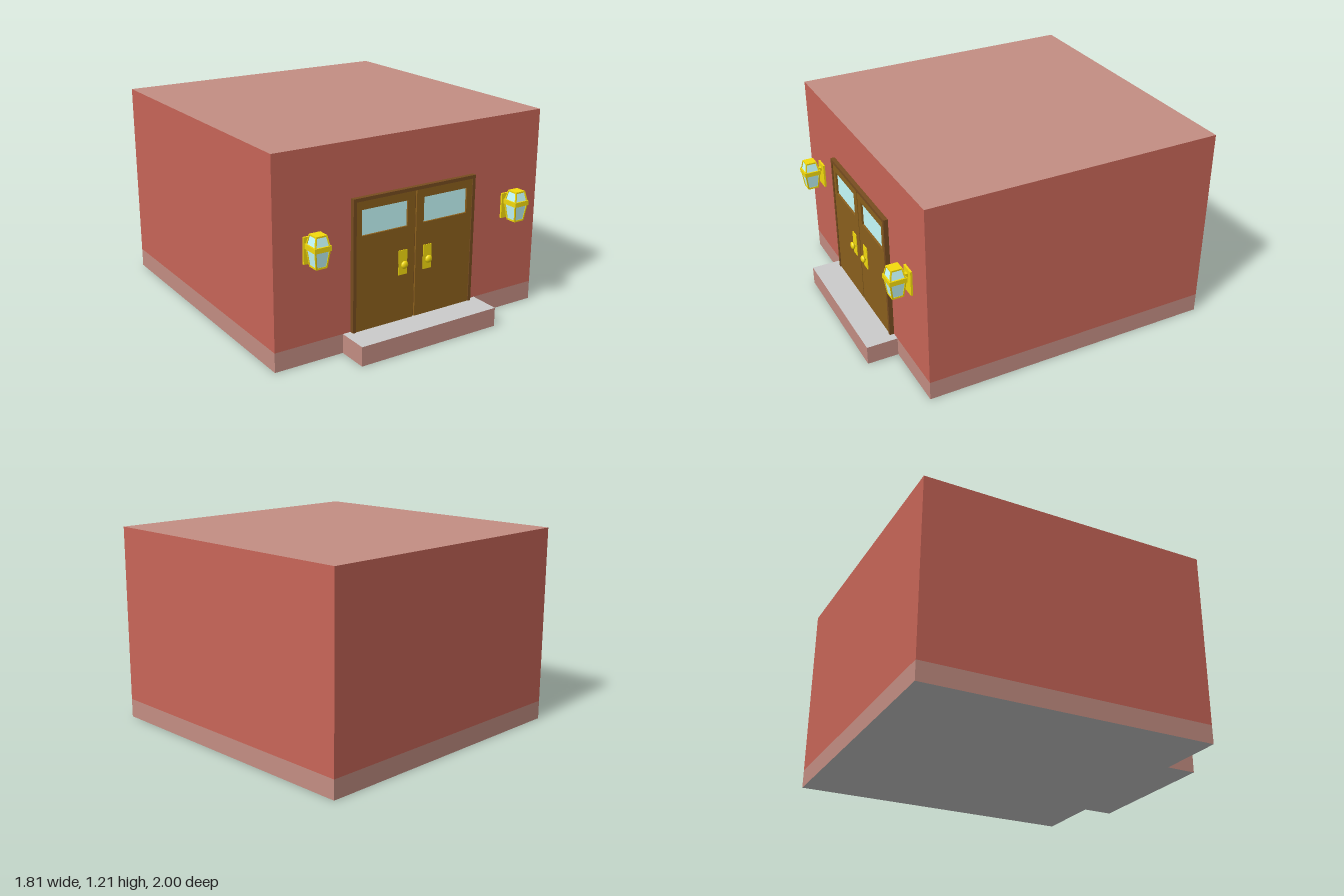
import * as THREE from 'three';

const mat = (color) => new THREE.MeshStandardMaterial({ color, flatShading: true });
const brick = mat(0xc96658), trim = mat(0xc48e83), stone = mat(0xcccccc);
const wood = mat(0x8c601d), darkWood = mat(0x784d20), glass = mat(0xc8ffff), brass = mat(0xf5dc0d);
const roundBrass = new THREE.MeshStandardMaterial({ color: 0xf5dc0d });

function add(parent, name, geometry, material, x = 0, y = 0, z = 0) {
  const mesh = new THREE.Mesh(geometry, material);
  mesh.name = name;
  mesh.position.set(x, y, z);
  parent.add(mesh);
  return mesh;
}

// Box given by its minimum and maximum corners
function block(parent, name, [x0, y0, z0], [x1, y1, z1], material) {
  return add(parent, name, new THREE.BoxGeometry(x1 - x0, y1 - y0, z1 - z0), material,
    (x0 + x1) / 2, (y0 + y1) / 2, (z0 + z1) / 2);
}

const rect = (C, x0, y0, x1, y1) => new C([[x0, y0], [x1, y0], [x1, y1], [x0, y1]]
  .map(([x, y]) => new THREE.Vector2(x, y)));

// Square frustum with half-widths at the bottom and top
function frustum(low, high, height) {
  return new THREE.CylinderGeometry(high * Math.SQRT2, low * Math.SQRT2, height, 4).rotateY(Math.PI / 4);
}

// Square bar between two points
function bar(parent, name, a, b, width, material) {
  const from = new THREE.Vector3(...a), to = new THREE.Vector3(...b);
  const dir = to.clone().sub(from);
  const mesh = add(parent, name, new THREE.BoxGeometry(width, dir.length(), width), material);
  mesh.position.copy(from).add(to).multiplyScalar(0.5);
  mesh.quaternion.setFromUnitVectors(new THREE.Vector3(0, 1, 0), dir.normalize());
}

function makeDoors() {
  const doors = new THREE.Group();
  doors.name = 'doubleDoor';
  doors.position.x = -0.0075;

  // Surround
  block(doors, 'frameTop', [-0.417, 0.872, 0.81], [0.417, 0.892, 0.837], darkWood);
  block(doors, 'doorGap', [-0.006, 0.115, 0.81], [0.006, 0.872, 0.822], darkWood);
  for (const s of [-1, 1]) {
    const side = s < 0 ? 'right' : 'left';
    const span = (a, b) => [Math.min(s * a, s * b), Math.max(s * a, s * b)];
    const [f0, f1] = span(0.397, 0.417);
    block(doors, side + 'FramePost', [f0, 0.115, 0.81], [f1, 0.872, 0.837], darkWood);

    // Leaf with a window opening
    const [l0, l1] = span(0.005, 0.397), [w0, w1] = span(0.0555, 0.3605);
    const shape = rect(THREE.Shape, l0, 0.115, l1, 0.872);
    shape.holes.push(rect(THREE.Path, w0, 0.673, w1, 0.822));
    add(doors, side + 'DoorLeaf',
      new THREE.ExtrudeGeometry(shape, { depth: 0.021, bevelEnabled: false }), wood, 0, 0, 0.811);
    block(doors, side + 'WindowPane', [w0, 0.673, 0.811], [w1, 0.822, 0.82], glass);

    // Handle plate and knob
    const [p0, p1] = span(0.056, 0.114);
    block(doors, side + 'HandlePlate', [p0, 0.392, 0.83], [p1, 0.538, 0.836], brass);
    const stem = add(doors, side + 'KnobStem', new THREE.CylinderGeometry(0.009, 0.009, 0.018, 10),
      roundBrass, s * 0.084, 0.455, 0.842);
    stem.rotation.x = Math.PI / 2;
    add(doors, side + 'Knob', new THREE.SphereGeometry(0.023, 16, 10), roundBrass, s * 0.084, 0.455, 0.851)
      .scale.z = 0.55;
  }
  return doors;
}

function makeLantern(name, x) {
  const lantern = new THREE.Group();
  lantern.name = name;
  lantern.position.set(x, 0, 0.893);

  // Wall plate and arm
  block(lantern, 'wallPlate', [-0.045, 0.583, -0.083], [0.045, 0.735, -0.071], brass);
  block(lantern, 'arm', [-0.012, 0.686, -0.072], [0.012, 0.708, -0.045], brass);

  // Glass, middle band and caps
  add(lantern, 'lowerGlass', frustum(0.031, 0.043, 0.1), glass, 0, 0.638, 0);
  add(lantern, 'upperGlass', frustum(0.043, 0.031, 0.06), glass, 0, 0.734, 0);
  block(lantern, 'band', [-0.051, 0.682, -0.051], [0.051, 0.71, 0.051], brass);
  block(lantern, 'topCap', [-0.034, 0.758, -0.034], [0.034, 0.767, 0.034], brass);
  block(lantern, 'bottomCap', [-0.034, 0.585, -0.034], [0.034, 0.595, 0.034], brass);

  // Corner bars
  for (const sx of [-1, 1]) for (const sz of [-1, 1]) {
    const corner = (r, y) => [sx * r, y, sz * r];
    bar(lantern, 'lowerBar', corner(0.031, 0.588), corner(0.044, 0.69), 0.008, brass);
    bar(lantern, 'upperBar', corner(0.044, 0.7), corner(0.031, 0.764), 0.008, brass);
  }
  return lantern;
}

export function createModel() {
  const model = new THREE.Group();
  model.name = 'building';

  // Box face order: +x, -x, +y, -y, +z, -z
  block(model, 'walls', [-0.904, 0.115, -1], [0.904, 1.208, 0.81],
    [brick, brick, trim, trim, brick, brick]);
  block(model, 'foundation', [-0.904, 0, -1], [0.904, 0.115, 0.81],
    [trim, trim, trim, stone, trim, trim]);
  block(model, 'frontStep', [-0.474, 0, 0.81], [0.459, 0.115, 1],
    [trim, trim, stone, stone, trim, trim]);

  model.add(makeDoors(), makeLantern('rightLantern', -0.681), makeLantern('leftLantern', 0.677));
  return model;
}
